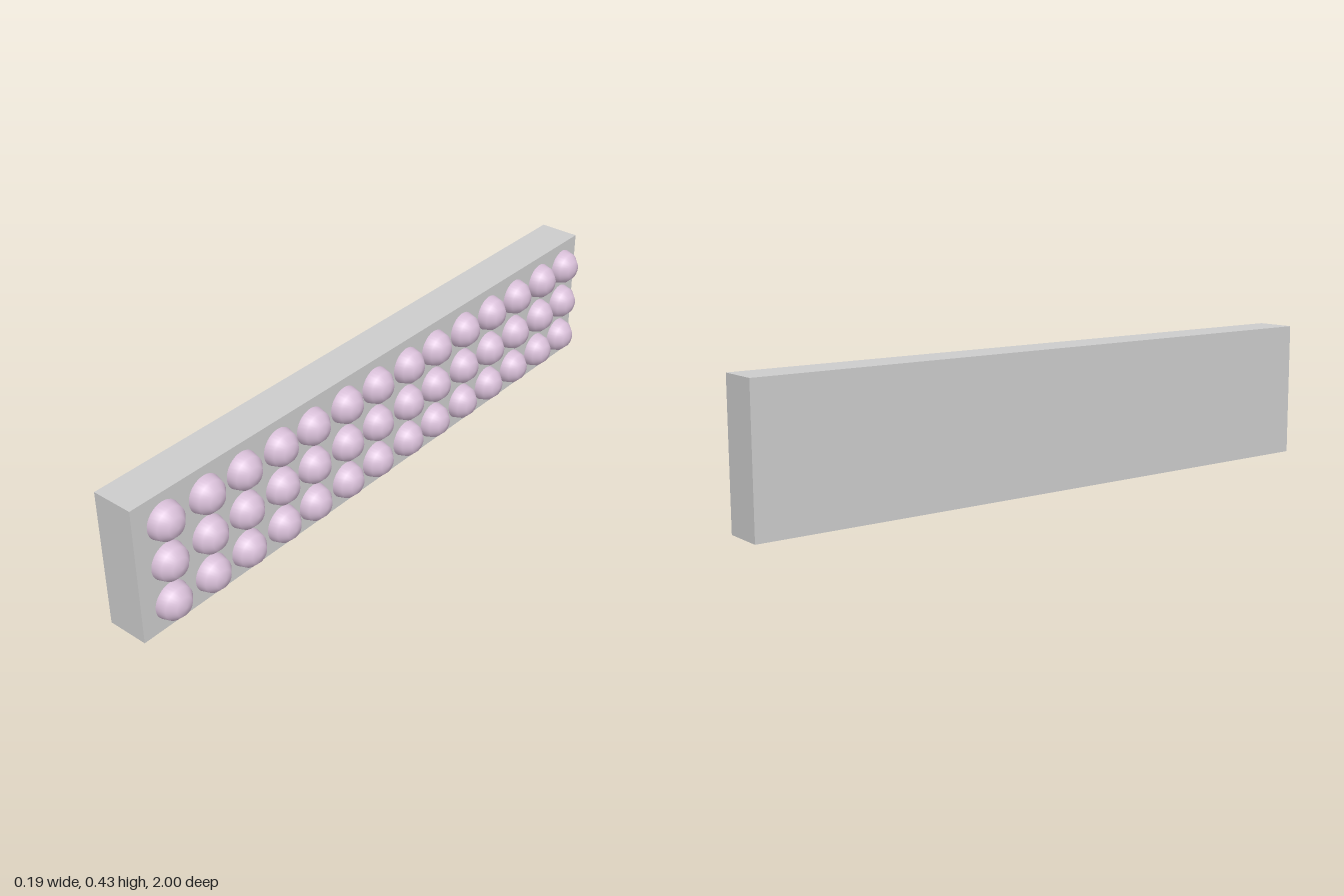
import * as THREE from 'three';

export function createModel() {
  const model = new THREE.Group();
  const grey = new THREE.MeshStandardMaterial({ color: 0xcccccc });
  const pink = new THREE.MeshStandardMaterial({ color: 0xd8bfd8, side: THREE.DoubleSide });

  // Upright slab
  const faceX = 0.035, backX = -0.094, height = 0.427;
  const slab = new THREE.Mesh(new THREE.BoxGeometry(faceX - backX, height, 2), grey);
  slab.name = 'slab';
  slab.position.set((faceX + backX) / 2, height / 2, 0);
  model.add(slab);

  // Half-sphere with its pole turned towards +x
  const domeGeometry = new THREE.SphereGeometry(0.057, 32, 3, 0, Math.PI * 2, 0, Math.PI / 2);
  domeGeometry.rotateZ(-Math.PI / 2);

  // Three rows of slightly unevenly spaced domes
  const rows = [0.081, 0.212, 0.342];
  const columns = [0.895, 0.75, 0.612, 0.47, 0.338, 0.195, 0.058,
    -0.087, -0.221, -0.365, -0.505, -0.645, -0.787, -0.921];
  const domes = new THREE.Group();
  domes.name = 'domes';
  for (const y of rows) {
    for (const z of columns) {
      const dome = new THREE.Mesh(domeGeometry, pink);
      dome.name = 'dome';
      dome.position.set(faceX, y, z);
      domes.add(dome);
    }
  }
  model.add(domes);
  return model;
}
